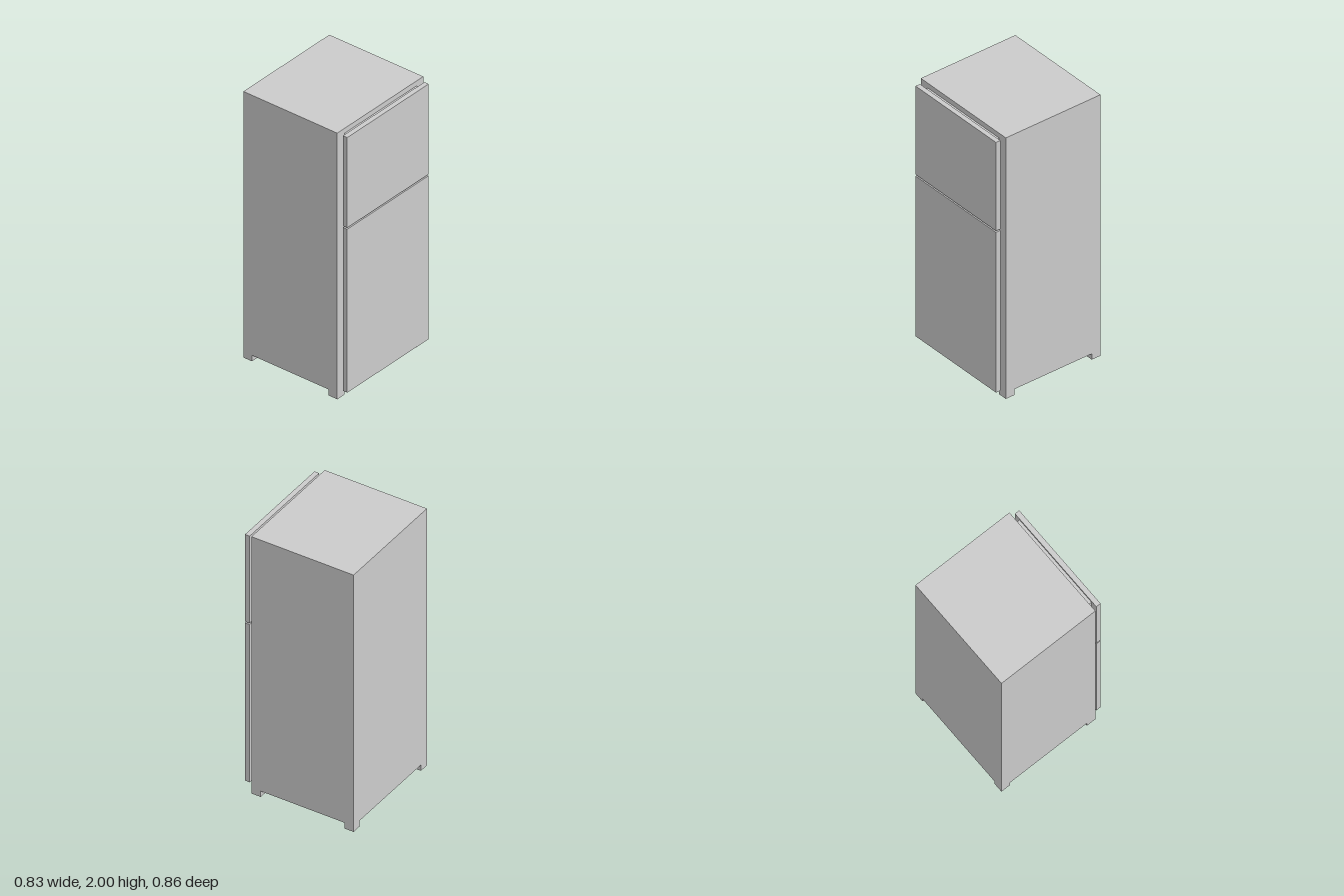
import * as THREE from 'three';

const material = new THREE.MeshStandardMaterial({ color: 0xcccccc, flatShading: true });

// Box given by its lower and upper limits on each axis
function box(name, [x0, x1], [y0, y1], [z0, z1]) {
  const mesh = new THREE.Mesh(new THREE.BoxGeometry(x1 - x0, y1 - y0, z1 - z0), material);
  mesh.name = name;
  mesh.position.set((x0 + x1) / 2, (y0 + y1) / 2, (z0 + z1) / 2);
  return mesh;
}

// Door panel with a narrower seal between it and the cabinet
function door(name, doorY, sealY) {
  const group = new THREE.Group();
  group.name = name;
  group.add(
    box(name + 'Panel', [0.38, 0.415], doorY, [-0.406, 0.404]),
    box(name + 'Seal', [0.353, 0.38], sealY, [-0.359, 0.357])
  );
  return group;
}

export function createModel() {
  const fridge = new THREE.Group();
  fridge.name = 'refrigerator';

  // Cabinet
  const back = -0.415, front = 0.353, side = 0.428, floor = 0.045;
  fridge.add(box('cabinet', [back, front], [floor, 2], [-side, side]));

  // Four square feet flush with the cabinet corners
  const foot = 0.07;
  for (const x of [back, front - foot]) {
    for (const z of [-side, side - foot]) {
      fridge.add(box('foot', [x, x + foot], [0, floor], [z, z + foot]));
    }
  }

  // Doors on the +x side
  fridge.add(door('freezerDoor', [1.302, 1.98], [1.325, 1.963]));
  fridge.add(door('mainDoor', [0.063, 1.291], [0.08, 1.27]));
  return fridge;
}
